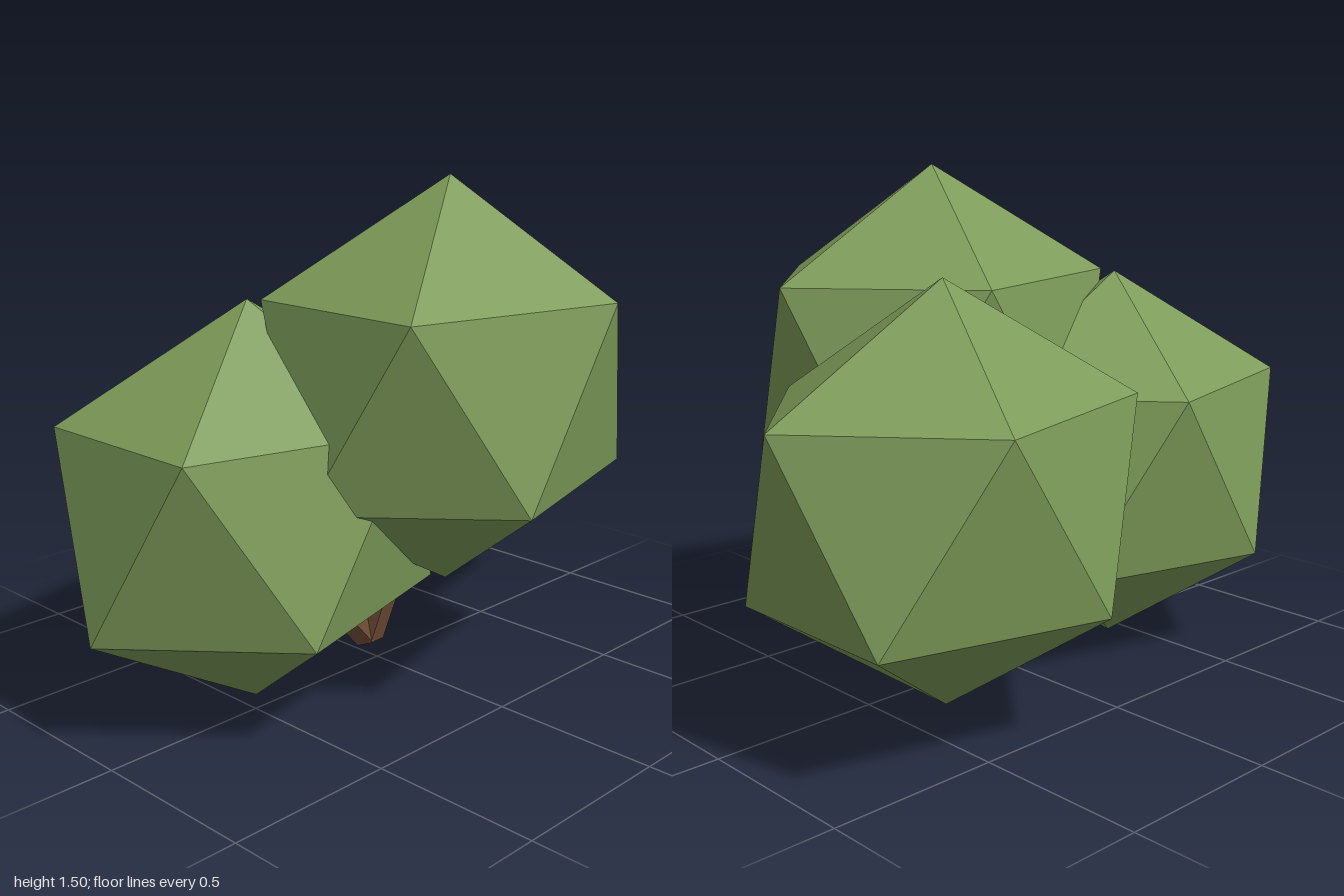
import * as THREE from 'three';

export function createModel() {
  const group = new THREE.Group();
  group.name = 'bush';
  const leafGreen = new THREE.MeshStandardMaterial({ color: 0x7d9b59, flatShading: true });
  leafGreen.name = 'leaf green';
  const barkBrown = new THREE.MeshStandardMaterial({ color: 0x76523a, flatShading: true });
  barkBrown.name = 'bark brown';

  // Faceted crown: icosahedron standing on a corner, slightly wide and shallow
  const golden = (1 + Math.sqrt(5)) / 2;
  const crownGeometry = new THREE.IcosahedronGeometry(1, 0);
  crownGeometry.rotateZ(-Math.atan(1 / golden));
  crownGeometry.scale(0.626, 0.586, 0.524);

  const root = new THREE.Vector3(0.02, 0.062, -0.065);
  const up = new THREE.Vector3(0, 1, 0);
  const clumps = [
    ['front', 0.018, 0.917, 0.26],
    ['left', 0.437, 0.656, -0.262],
    ['right', -0.44, 0.59, -0.067],
  ];

  for (const [side, x, y, z] of clumps) {
    const centre = new THREE.Vector3(x, y, z);
    const crown = new THREE.Mesh(crownGeometry, leafGreen);
    crown.name = side + 'Crown';
    crown.position.copy(centre);
    group.add(crown);

    // Six-sided branch from the shared root into the crown
    const direction = centre.clone().sub(root);
    const length = direction.length() * 0.8;
    direction.normalize();
    const branchGeometry = new THREE.CylinderGeometry(0.055, 0.055, length, 6);
    branchGeometry.rotateY(Math.PI / 2);
    branchGeometry.translate(0, length / 2, 0);
    const branch = new THREE.Mesh(branchGeometry, barkBrown);
    branch.name = side + 'Branch';
    branch.position.copy(root);
    branch.quaternion.setFromUnitVectors(up, direction);
    group.add(branch);
  }
  return group;
}
